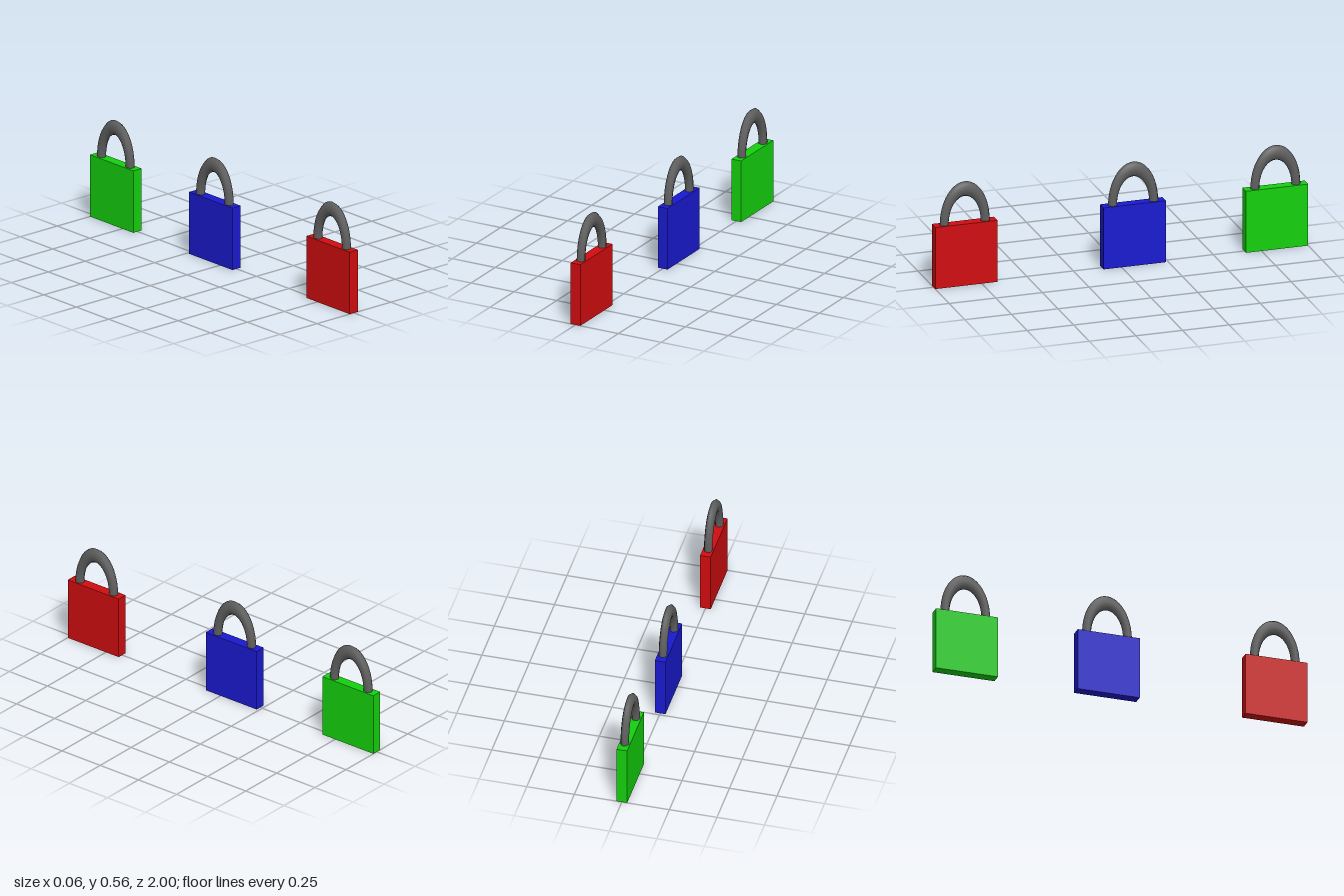
import * as THREE from 'three';

const BODY = 1 / 3;      // body height and width
const THICKNESS = 0.056; // body depth along x

function createPadlock(name, color, z) {
  const padlock = new THREE.Group();
  padlock.name = name;
  padlock.position.z = z;

  // Flat square body
  const body = new THREE.Mesh(
    new THREE.BoxGeometry(THICKNESS, BODY, BODY),
    new THREE.MeshStandardMaterial({ color })
  );
  body.name = 'body';
  body.position.y = BODY / 2;

  // Half ring stretched upwards, eight-sided in section
  const ring = new THREE.TorusGeometry(0.11, 0.024, 8, 24, Math.PI);
  ring.rotateY(Math.PI / 2);
  ring.scale(0.92, 1.657, 1);
  const shackle = new THREE.Mesh(
    ring,
    new THREE.MeshStandardMaterial({ color: 0x606060 })
  );
  shackle.name = 'shackle';
  shackle.position.y = BODY;

  padlock.add(body, shackle);
  return padlock;
}

export function createModel() {
  const model = new THREE.Group();
  model.name = 'padlocks';
  model.add(
    createPadlock('redPadlock', 0xd00d10, 0.833),
    createPadlock('bluePadlock', 0x1a1ad0, -0.07),
    createPadlock('greenPadlock', 0x14d00d, -0.833)
  );
  return model;
}
